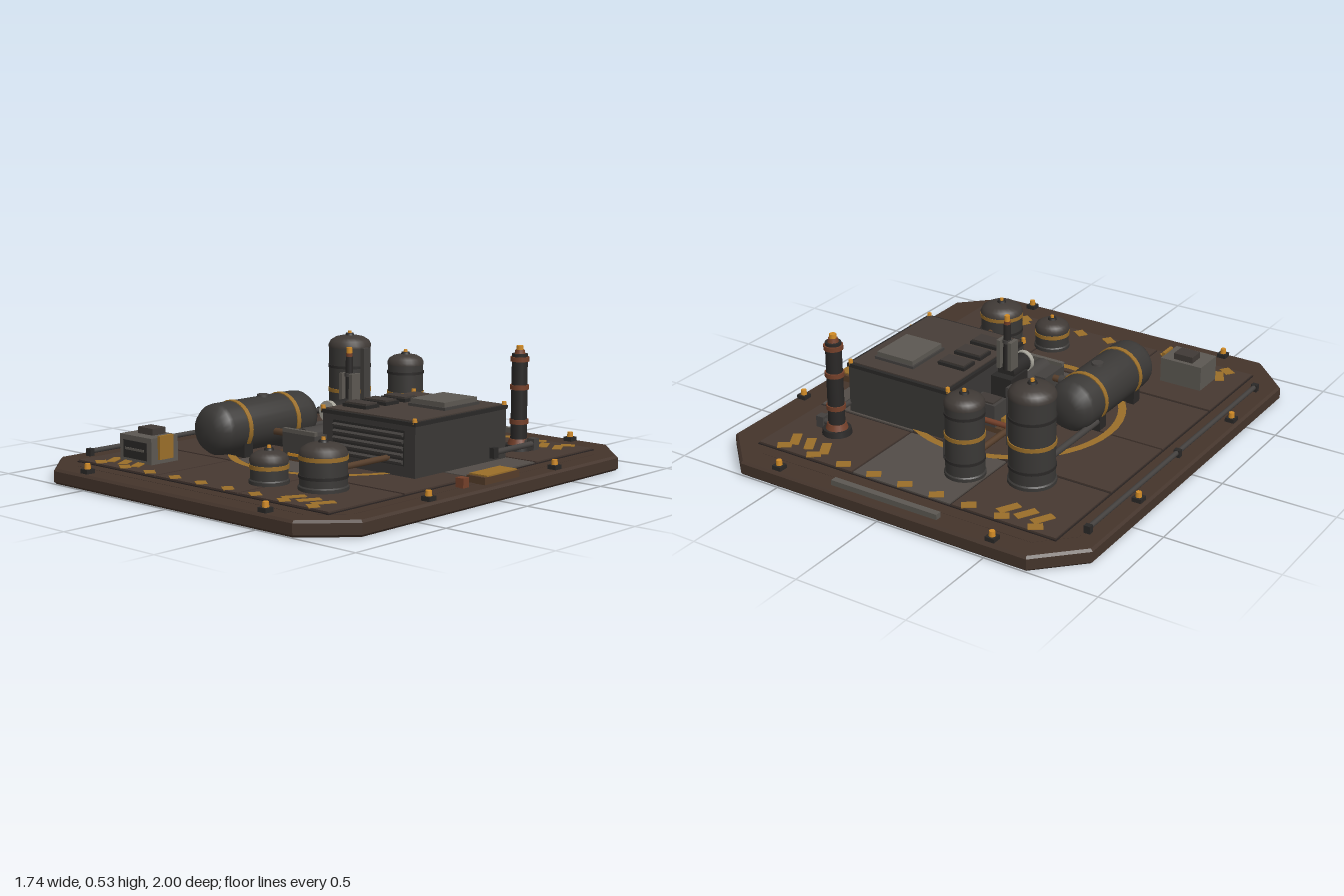
import * as THREE from 'three';
import { toCreasedNormals } from 'three/addons/utils/BufferGeometryUtils.js';

const mat = (color) => new THREE.MeshStandardMaterial({ color });
const M = {
  rim: mat(0x44342b), deck: mat(0x2c211c), panel: mat(0x463831), panelGrey: mat(0x524c47), seam: mat(0x2b2422),
  tank: mat(0x3a3836), dome: mat(0x403a36), dark: mat(0x2a2827), steel: mat(0x43403e), grey: mat(0x5c5852),
  pale: mat(0xa5a298), yellow: mat(0x9a6e29), amber: mat(0xd08a25), rust: mat(0x74402a), brown: mat(0x553d2a),
  housing: mat(0x3a3836), roof: mat(0x463d37),
};

export function createModel() {
  const root = new THREE.Group();

  const add = (name, geo, m, x = 0, y = 0, z = 0, parent = root) => {
    const mesh = new THREE.Mesh(geo, m);
    mesh.name = name;
    mesh.position.set(x, y, z);
    parent.add(mesh);
    return mesh;
  };
  // Box given by its extents on each axis
  const box = (name, m, x0, x1, y0, y1, z0, z1) =>
    add(name, new THREE.BoxGeometry(x1 - x0, y1 - y0, z1 - z0), m, (x0 + x1) / 2, (y0 + y1) / 2, (z0 + z1) / 2);
  const cyl = (name, m, r0, r1, y0, y1, x, z, n = 16) =>
    add(name, new THREE.CylinderGeometry(r1, r0, y1 - y0, n), m, x, (y0 + y1) / 2, z);
  // Straight pipe between two points
  const pipe = (name, m, r, a, b, n = 10) => {
    const p = new THREE.Vector3(...a), q = new THREE.Vector3(...b), d = q.clone().sub(p);
    const mesh = add(name, new THREE.CylinderGeometry(r, r, d.length(), n), m);
    mesh.position.copy(p).add(q).multiplyScalar(0.5);
    mesh.quaternion.setFromUnitVectors(new THREE.Vector3(0, 1, 0), d.normalize());
    return mesh;
  };
  const lathe = (pts) => toCreasedNormals(
    new THREE.LatheGeometry(pts.map(([x, y]) => new THREE.Vector2(x, y)), 24), 0.6);
  // Chamfered plate lying flat, with bevelled edges and an optional window
  const octagon = (a, b, c) => [[a, b - c], [a - c, b], [c - a, b], [-a, b - c], [-a, c - b], [c - a, -b], [a - c, -b], [a, c - b]]
    .map(([x, y]) => new THREE.Vector2(x, y));
  const plate = (w, d, c, y0, y1, bevel, hole) => {
    const s = new THREE.Shape(octagon(w - bevel, d - bevel, c));
    if (hole) s.holes.push(new THREE.Path(octagon(...hole).reverse()));
    const g = new THREE.ExtrudeGeometry(s, {
      depth: y1 - y0 - 2 * bevel, bevelEnabled: bevel > 0, bevelSize: bevel, bevelThickness: bevel, bevelSegments: 1,
    });
    return g.rotateX(-Math.PI / 2).translate(0, y0 + bevel, 0);
  };

  // Base with a shallow recess underneath
  add('baseFrame', plate(0.87, 1, 0.175, 0, 0.065, 0.01, [0.73, 0.85, 0.13]), M.rim);
  add('basePlate', plate(0.78, 0.9, 0.13, 0.04, 0.066, 0), M.rim);
  add('underside', plate(0.76, 0.88, 0.13, 0.03, 0.041, 0), M.deck);
  box('deckSeams', M.seam, -0.725, 0.725, 0.06, 0.07, -0.845, 0.845);
  const cols = [[-0.72, -0.245], [-0.235, 0.235], [0.245, 0.72]];
  const rows = [[-0.84, -0.435], [-0.42, -0.005], [0.005, 0.41], [0.425, 0.84]];
  const greyPanels = ['1,0', '2,1', '1,2'];
  cols.forEach(([x0, x1], i) => rows.forEach(([z0, z1], j) =>
    box('deckPanel', greyPanels.includes(`${i},${j}`) ? M.panelGrey : M.panel, x0, x1, 0.065, 0.076, z0, z1)));

  // Recessed fittings under the deck
  box('undersidePlate', M.seam, -0.2, 0.2, 0.026, 0.031, -0.28, 0.28);
  for (const s of [-1, 1]) {
    box('undersideRail', M.rim, s * 0.135 - 0.03, s * 0.135 + 0.03, 0.014, 0.03, -0.25, 0.25);
    box('undersideRailInset', M.seam, s * 0.135 - 0.022, s * 0.135 + 0.022, 0.012, 0.03, -0.242, 0.242);
    box('undersideCrossbar', M.rim, -0.11, 0.11, 0.016, 0.03, s * 0.09 - 0.012, s * 0.09 + 0.012);
  }

  // Painted markings
  add('floorRing', new THREE.RingGeometry(0.445, 0.48, 48).rotateX(-Math.PI / 2), M.yellow, 0, 0.079, 0);
  const mark = (x, z, w, d, turn) => {
    add('hazardMark', new THREE.BoxGeometry(w, 0.003, d), M.yellow, x, 0.077, z).rotation.y = turn;
  };
  for (const s of [-1, 1]) {
    for (let i = -4; i <= 4; i++) mark(i * 0.153, s * 0.81, 0.06, 0.045, -s * 0.6);
    for (const side of [-1, 1]) for (const x of [0.45, 0.53, 0.605])
      mark(side * x, s * 0.745, 0.04, 0.095, -side * s * 0.5);
  }

  // Rim lamps, rails and lockers
  const lamps = [];
  for (const a of [-1, 1]) for (const b of [-1, 1]) lamps.push([a * 0.515, b * 0.962], [a * 0.835, b * 0.405]);
  for (const [x, z] of lamps) {
    box('lampBase', M.dark, x - 0.021, x + 0.021, 0.06, 0.083, z - 0.021, z + 0.021);
    cyl('lampBulb', M.amber, 0.014, 0.012, 0.083, 0.105, x, z, 8);
  }
  pipe('sideRail', M.steel, 0.011, [-0.792, 0.085, -0.73], [-0.792, 0.085, 0.73]);
  for (const z of [-0.72, 0, 0.72]) box('railPost', M.dark, -0.806, -0.778, 0.06, 0.097, z - 0.012, z + 0.012);
  box('rearBar', M.grey, -0.255, 0.255, 0.06, 0.088, -0.957, -0.928);
  box('sideLocker', M.brown, 0.73, 0.825, 0.06, 0.095, -0.18, 0.045);
  box('lockerLid', M.yellow, 0.733, 0.822, 0.095, 0.101, -0.165, 0.03);
  box('rustValve', M.rust, 0.76, 0.8, 0.06, 0.105, 0.115, 0.152);

  // Upright tanks: lathe body with dome, band, seams and cap
  const tank = (name, x, z, r, top, bandY, seams) => {
    const g = new THREE.Group();
    g.name = name;
    g.position.set(x, 0, z);
    root.add(g);
    const h = r * 0.42;
    add('tankBody', lathe([[0, 0.07], [r * 1.03, 0.07], [r * 1.03, 0.09], [r * 0.97, 0.095], [r * 0.97, top - h]]), M.tank, 0, 0, 0, g);
    add('tankDome', lathe([[r, top - h - 0.012], [r, top - h], [r * 0.9, top - h * 0.55], [r * 0.66, top - h * 0.2], [r * 0.3, top], [0, top]]), M.dome, 0, 0, 0, g);
    const ring = (n, m, y, hh, k) => add(n, new THREE.CylinderGeometry(r * k, r * k, hh, 24), m, 0, y, 0, g);
    ring('tankBand', M.yellow, bandY, 0.017, 1.015);
    for (const y of seams) ring('tankSeam', M.dark, y, 0.012, 1.01);
    add('tankCap', new THREE.CylinderGeometry(0.018, 0.022, 0.012, 12), M.dark, 0, top + 0.003, 0, g);
    add('tankFinial', new THREE.CylinderGeometry(0.008, 0.01, 0.02, 8), M.amber, 0, top + 0.01, 0, g);
  };
  tank('tallTank', -0.405, -0.505, 0.098, 0.505, 0.255, [0.365, 0.15]);
  tank('mediumTank', -0.148, -0.6, 0.083, 0.432, 0.255, [0.35, 0.15]);
  tank('smallTank', 0.197, 0.625, 0.079, 0.208, 0.145, []);
  tank('wideTank', 0.433, 0.562, 0.098, 0.262, 0.205, [0.13]);
  box('tallTankGauge', M.steel, -0.306, -0.284, 0.2, 0.455, -0.51, -0.47);
  box('mediumTankGauge', M.steel, -0.068, -0.04, 0.11, 0.2, -0.6, -0.565);

  // Horizontal tank on saddles
  const profile = [[0, -0.305], [0.05, -0.3], [0.088, -0.285], [0.108, -0.255], [0.111, -0.235]];
  const body = [...profile, ...profile.slice().reverse().map(([r, y]) => [r, -y])];
  add('longTank', toCreasedNormals(lathe(body), 1).rotateX(Math.PI / 2), M.tank, -0.325, 0.197, 0.175);
  for (const z of [0.03, 0.32]) {
    add('longTankBand', new THREE.CylinderGeometry(0.115, 0.115, 0.022, 24).rotateX(Math.PI / 2), M.yellow, -0.325, 0.197, z);
    box('longTankSaddle', M.dark, -0.42, -0.23, 0.07, 0.14, z - 0.025, z + 0.025);
  }
  cyl('longTankHatch', M.steel, 0.028, 0.025, 0.29, 0.316, -0.325, 0.14);

  // Machine housing with roof fittings and louvres
  box('housing', M.housing, 0.07, 0.575, 0.07, 0.3, -0.41, 0.18);
  box('housingRoofEdge', M.dark, 0.064, 0.58, 0.287, 0.303, -0.415, 0.185);
  box('housingRoof', M.roof, 0.08, 0.565, 0.295, 0.308, -0.4, 0.17);
  box('roofHatchBase', M.steel, 0.3, 0.5, 0.3, 0.32, -0.325, -0.095);
  box('roofHatch', M.grey, 0.308, 0.492, 0.32, 0.34, -0.317, -0.103);
  for (const z of [-0.185, -0.063, 0.06]) {
    box('roofVent', M.dark, 0.108, 0.242, 0.3, 0.322, z - 0.042, z + 0.042);
    box('roofVentLid', M.dome, 0.116, 0.234, 0.322, 0.329, z - 0.034, z + 0.034);
  }
  for (const x of [0.068, 0.568]) for (const z of [-0.405, 0.175]) cyl('cornerBolt', M.amber, 0.011, 0.009, 0.295, 0.318, x, z, 8);
  box('louvrePanel', M.dark, 0.13, 0.52, 0.12, 0.265, 0.17, 0.183);
  for (let i = 0; i < 5; i++) {
    const y = 0.135 + i * 0.028;
    add('louvreSlat', new THREE.BoxGeometry(0.38, 0.012, 0.018), M.steel, 0.325, y, 0.185).rotation.x = 0.5;
  }

  // Exhaust stack with rust collars
  cyl('stackBase', M.dark, 0.065, 0.06, 0.07, 0.1, 0.5, -0.6, 20);
  cyl('stackFoot', M.rust, 0.048, 0.04, 0.1, 0.125, 0.5, -0.6, 20);
  cyl('stackPipe', M.dark, 0.036, 0.034, 0.1, 0.495, 0.5, -0.6, 20);
  for (const y of [0.2, 0.35, 0.472]) cyl('stackCollar', M.rust, 0.041, 0.041, y - 0.01, y + 0.01, 0.5, -0.6, 20);
  cyl('stackNeck', M.rust, 0.025, 0.02, 0.49, 0.512, 0.5, -0.6);
  cyl('stackLight', M.amber, 0.016, 0.015, 0.51, 0.53, 0.5, -0.6, 10);
  box('stackValve', M.steel, 0.56, 0.596, 0.085, 0.135, -0.618, -0.582);
  pipe('stackPipeFeed', M.steel, 0.013, [0.5, 0.112, -0.6], [0.578, 0.112, -0.6]);
  pipe('stackPipeRun', M.steel, 0.013, [0.582, 0.112, -0.6], [0.582, 0.112, -0.31]);
  box('stackPipeMount', M.dark, 0.567, 0.6, 0.09, 0.135, -0.33, -0.3);

  // Connecting pipes
  pipe('tankPipe', M.steel, 0.014, [-0.405, 0.115, -0.43], [-0.405, 0.115, 0.01]);
  pipe('tankPipeFlange', M.dark, 0.02, [-0.405, 0.115, -0.4], [-0.405, 0.115, -0.385]);
  pipe('rearPipe', M.brown, 0.014, [-0.147, 0.13, -0.53], [-0.147, 0.13, -0.24]);
  pipe('rearCrossPipe', M.rust, 0.012, [-0.147, 0.15, -0.29], [0.08, 0.15, -0.29]);
  pipe('frontPipe', M.brown, 0.015, [-0.23, 0.17, 0.17], [-0.08, 0.17, 0.17]);
  pipe('frontPipeCollar', M.steel, 0.022, [-0.15, 0.17, 0.17], [-0.125, 0.17, 0.17]);
  pipe('widePipe', M.brown, 0.013, [0.433, 0.145, 0.17], [0.433, 0.145, 0.48]);

  // Central machine: skids, consoles, engine, drum and mast
  for (const s of [-1, 1]) {
    box('skid', M.brown, s * 0.133 - 0.03, s * 0.133 + 0.03, 0.07, 0.1, -0.25, 0.265);
    box('crossBeam', M.brown, -0.12, 0.12, 0.075, 0.095, s * 0.235 - 0.015, s * 0.235 + 0.015);
    box('innerStrut', M.yellow, s * 0.08 - 0.009, s * 0.08 + 0.009, 0.1, 0.135, -0.22, 0.08);
    box('mastBracket', M.grey, s * 0.028 - 0.009, s * 0.028 + 0.009, 0.29, 0.418, -0.088, -0.035);
  }
  box('machineFloor', M.brown, -0.1, 0.1, 0.07, 0.1, -0.25, 0.22);
  box('frontConsole', M.steel, -0.092, 0.092, 0.085, 0.195, 0.1, 0.255);
  box('consoleRim', M.grey, -0.092, 0.092, 0.195, 0.212, 0.235, 0.255);
  box('consoleLight', M.amber, -0.06, 0.06, 0.098, 0.11, 0.25, 0.26);
  box('rearConsole', M.steel, -0.06, 0.06, 0.1, 0.2, -0.25, -0.16);
  box('rearScreen', M.dome, -0.045, 0.045, 0.2, 0.207, -0.24, -0.17);
  box('rearLamp', M.amber, -0.012, 0.012, 0.17, 0.19, -0.278, -0.25);
  box('mastPedestal', M.dark, -0.05, 0.05, 0.1, 0.26, -0.11, 0.02);
  pipe('engine', M.steel, 0.042, [0, 0.175, 0], [0, 0.175, 0.23], 20);
  pipe('drum', M.dark, 0.042, [0, 0.268, -0.07], [0, 0.268, 0.065], 20);
  pipe('drumFace', M.pale, 0.047, [0, 0.268, 0.06], [0, 0.268, 0.08], 20);
  cyl('mast', M.dark, 0.018, 0.016, 0.28, 0.49, 0, -0.06, 12);
  cyl('mastCollar', M.steel, 0.021, 0.021, 0.405, 0.42, 0, -0.06, 12);
  cyl('mastNeck', M.rust, 0.014, 0.014, 0.485, 0.505, 0, -0.06, 10);
  cyl('mastLight', M.amber, 0.013, 0.012, 0.505, 0.53, 0, -0.06, 10);

  // Control cabinet
  box('cabinet', M.grey, -0.6, -0.402, 0.07, 0.187, 0.568, 0.715);
  box('cabinetLid', M.dome, -0.547, -0.455, 0.185, 0.215, 0.588, 0.66);
  box('cabinetPanel', M.dark, -0.575, -0.43, 0.09, 0.165, 0.71, 0.719);
  box('cabinetReadout', M.grey, -0.56, -0.445, 0.125, 0.135, 0.715, 0.722);
  box('cabinetSidePlate', M.yellow, -0.403, -0.388, 0.095, 0.195, 0.605, 0.68);

  return root;
}
